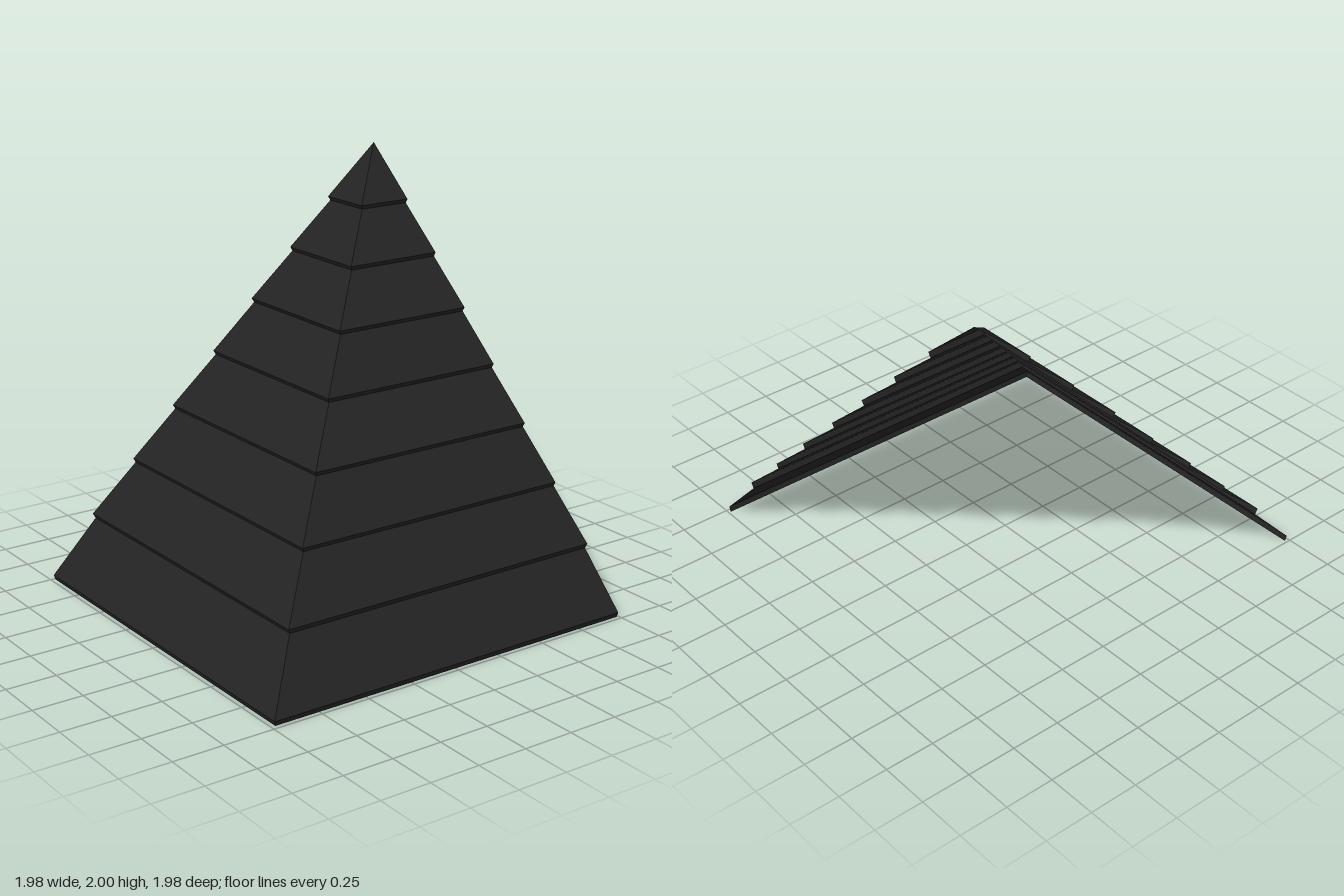
import * as THREE from 'three';

const EDGE = 0.988; // open edges lie on x = EDGE and z = -EDGE

// Stepped roof profile: each course has a tucked-in lower edge and a projecting lip.
// [inner a, inner y, outer a, outer y], where the hip runs along x = a, z = -a.
const courses = [
  [-0.978, 0, -0.988, 0.026],
  [-0.74, 0.277, -0.755, 0.303],
  [-0.5, 0.525, -0.512, 0.547],
  [-0.26, 0.765, -0.273, 0.787],
  [-0.012, 1.01, -0.025, 1.032],
  [0.227, 1.25, 0.212, 1.272],
  [0.467, 1.488, 0.454, 1.51],
  [0.708, 1.725, 0.694, 1.747],
];
const apex = [EDGE, 2];

// Horizontal strip between two profile points, mitred along the hip.
// The side slope is the front slope reflected across the hip plane.
function strip([a0, y0], [a1, y1], side) {
  const front = [[a0, y0, -a0], [EDGE, y0, -a0], [EDGE, y1, -a1], [a1, y1, -a1]];
  const c = side ? front.map(([x, y, z]) => [-z, y, -x]).reverse() : front;
  const geometry = new THREE.BufferGeometry();
  const corners = [0, 1, 2, 0, 2, 3].flatMap((i) => c[i]);
  geometry.setAttribute('position', new THREE.Float32BufferAttribute(corners, 3));
  geometry.computeVertexNormals();
  // The topmost strip closes to a point; give its empty triangle a valid normal.
  const n = geometry.attributes.normal;
  const good = [0, 3].find((i) => Math.hypot(n.getX(i), n.getY(i), n.getZ(i)) > 0.5);
  const v = new THREE.Vector3().fromBufferAttribute(n, good);
  for (let i = 0; i < 6; i++) n.setXYZ(i, v.x, v.y, v.z);
  return geometry;
}

export function createModel() {
  const model = new THREE.Group();
  model.name = 'hippedRoofCorner';
  const slate = new THREE.MeshStandardMaterial({ color: 0x222222, side: THREE.DoubleSide });
  slate.name = 'darkSlate';

  for (const side of [false, true]) {
    const slope = new THREE.Group();
    slope.name = side ? 'sideSlope' : 'frontSlope';
    courses.forEach(([ai, yi, ao, yo], i) => {
      const next = courses[i + 1] ?? apex;
      const lip = new THREE.Mesh(strip([ai, yi], [ao, yo], side), slate);
      lip.name = `courseLip${i + 1}`;
      const face = new THREE.Mesh(strip([ao, yo], next, side), slate);
      face.name = `courseFace${i + 1}`;
      slope.add(lip, face);
    });
    model.add(slope);
  }
  return model;
}
